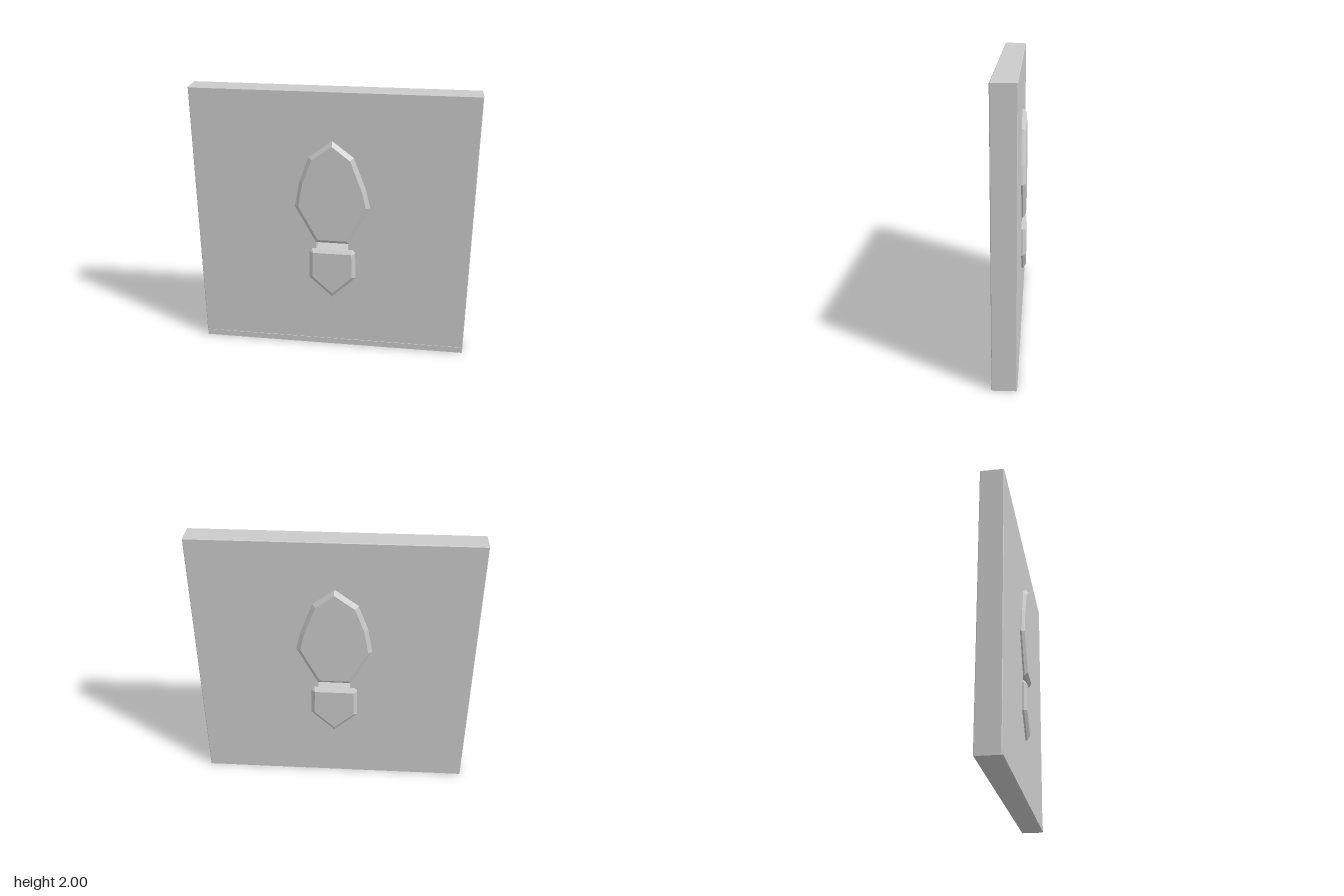
import * as THREE from 'three';

const HALF = 0.083; // half the slab thickness
const material = new THREE.MeshStandardMaterial({ color: 0xcccccc, flatShading: true });

const toShape = (points) => new THREE.Shape(points.map(([x, y]) => new THREE.Vector2(x, y)));

function addMesh(group, name, geometry) {
  const mesh = new THREE.Mesh(geometry, material);
  mesh.name = name;
  group.add(mesh);
  return mesh;
}

// Raised pad with a chamfered rim; its inner bevel is buried in the slab
function padGeometry(outline) {
  return new THREE.ExtrudeGeometry(toShape(outline), {
    depth: 0.012, bevelEnabled: true, bevelSegments: 1,
    bevelThickness: 0.02, bevelSize: 0.026, bevelOffset: -0.026,
  });
}

export function createModel() {
  const model = new THREE.Group();
  model.name = 'slottedPanel';

  // Square slab with a narrow slot through it
  const edge = 0.004;
  const slabShape = toShape([[-1, 0], [1, 0], [1, 2], [-1, 2]]);
  slabShape.holes.push(new THREE.Path(
    [[-0.118, 0.82], [-0.118, 0.88], [0.118, 0.88], [0.118, 0.82]]
      .map(([x, y]) => new THREE.Vector2(x, y))));
  const slab = new THREE.ExtrudeGeometry(slabShape, {
    depth: 2 * (HALF - edge), bevelEnabled: true, bevelSegments: 1,
    bevelThickness: edge, bevelSize: edge, bevelOffset: -edge,
  });
  slab.translate(0, 0, edge - HALF);
  addMesh(model, 'slab', slab);

  // Faint lip along the bottom of the front face
  const lip = addMesh(model, 'bottomLip', new THREE.BoxGeometry(1.99, 0.046, 0.01));
  lip.position.set(0, 0.026, HALF - 0.001);

  // Sole and heel pads, repeated on both faces
  const sole = padGeometry([
    [0.12, 0.88], [0.27, 1.17], [0.24, 1.3], [0.15, 1.54], [0, 1.655],
    [-0.165, 1.535], [-0.235, 1.35], [-0.27, 1.16], [-0.12, 0.88],
  ]);
  const heel = padGeometry([
    [0, 0.43], [0.175, 0.6], [0.168, 0.805], [0.15, 0.825],
    [-0.15, 0.825], [-0.168, 0.805], [-0.172, 0.59],
  ]);
  for (const [side, z] of [['front', HALF], ['back', -HALF - 0.012]]) {
    addMesh(model, side + 'SolePad', sole).position.z = z;
    addMesh(model, side + 'HeelPad', heel).position.z = z;
  }
  return model;
}
